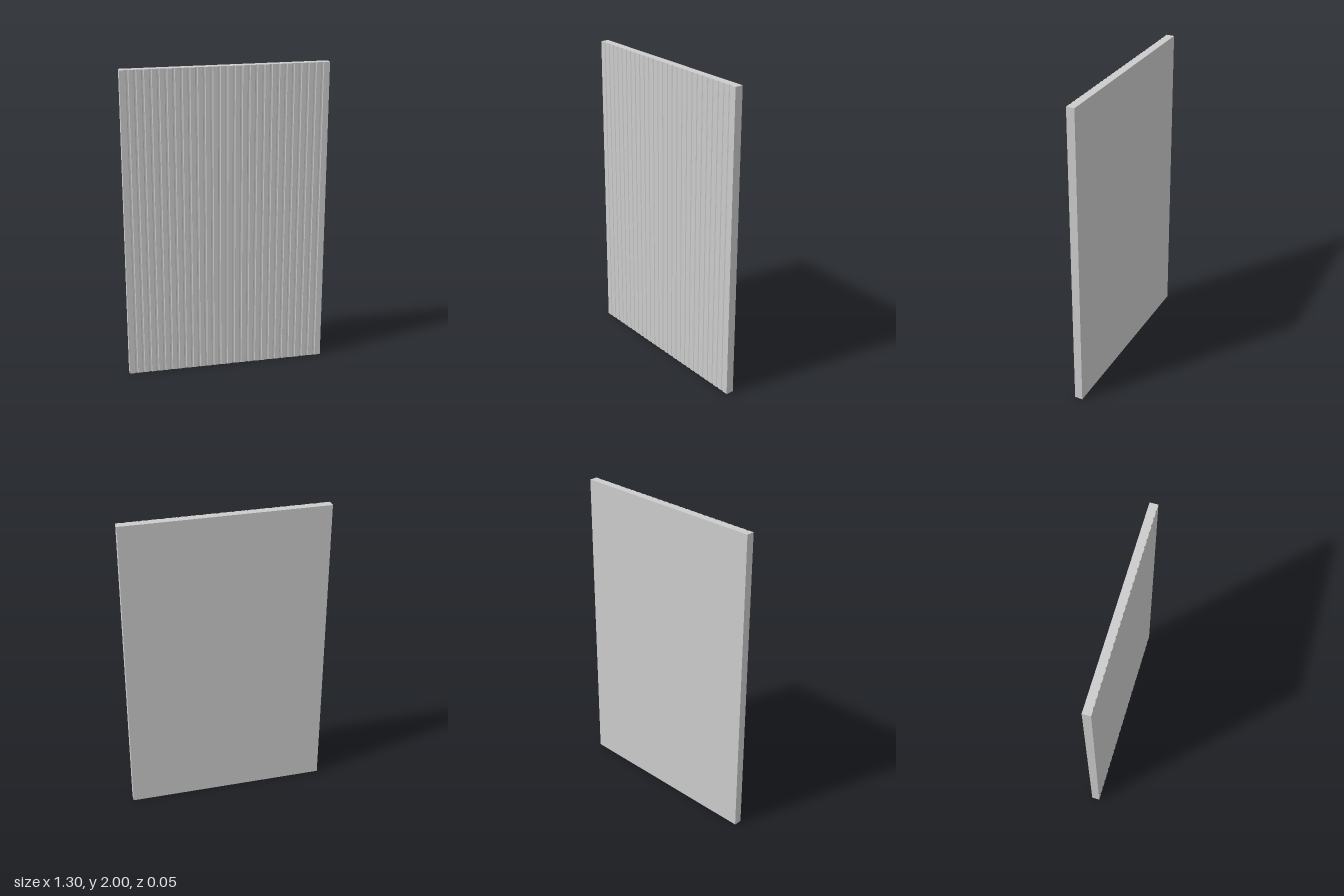
import * as THREE from 'three';

const WIDTH = 1.3, HEIGHT = 2, HALF_DEPTH = 0.026;
const SLATS = 28, GROOVE_HALF = 0.009, GROOVE_FLOOR = 0.004, GROOVE_DEPTH = 0.004;

// Plan outline: flat back, front edge cut by evenly spaced shallow grooves
function panelOutline() {
  const half = WIDTH / 2, pitch = WIDTH / SLATS;
  const front = -HALF_DEPTH, floor = front + GROOVE_DEPTH;
  const shape = new THREE.Shape();
  shape.moveTo(half, HALF_DEPTH);
  shape.lineTo(-half, HALF_DEPTH);
  shape.lineTo(-half, front);
  for (let i = 1; i < SLATS; i++) {
    const x = -half + i * pitch;
    shape.lineTo(x - GROOVE_HALF, front);
    shape.lineTo(x - GROOVE_FLOOR, floor);
    shape.lineTo(x + GROOVE_FLOOR, floor);
    shape.lineTo(x + GROOVE_HALF, front);
  }
  shape.lineTo(half, front);
  shape.closePath();
  return shape;
}

export function createModel() {
  const group = new THREE.Group();
  group.name = 'groovedPanel';

  // Extrude the plan upward; outline y becomes -z
  const geometry = new THREE.ExtrudeGeometry(panelOutline(), { depth: HEIGHT, bevelEnabled: false });
  geometry.rotateX(-Math.PI / 2);

  const panel = new THREE.Mesh(geometry, new THREE.MeshStandardMaterial({ color: 0xcccccc }));
  panel.name = 'panel';
  group.add(panel);
  return group;
}
